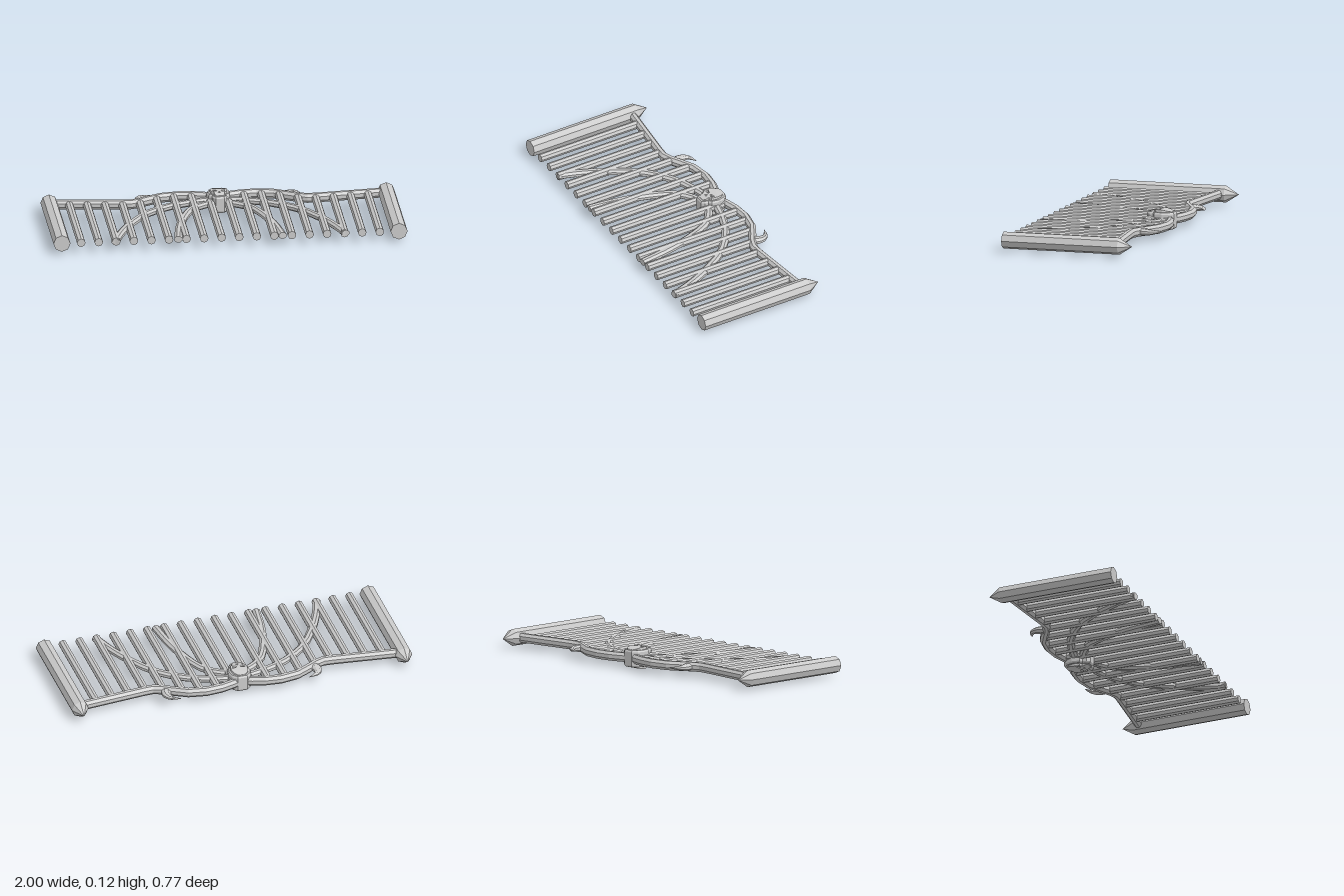
import * as THREE from 'three';

const MID = 0.065; // height of the gate's centre plane
const FRONT = 0.38;
const mat = new THREE.MeshStandardMaterial({ color: 0xcccccc, flatShading: true });

function mesh(geo, name) {
  const m = new THREE.Mesh(geo, mat);
  m.name = name;
  return m;
}

// Sweep an eight-sided section along [x, z] points; w(t), h(t) are half sizes.
function sweep(pts, w, h, sides = 8) {
  const v = [], idx = [], n = pts.length;
  pts.forEach(([x, z], i) => {
    const a = pts[Math.max(i - 1, 0)], b = pts[Math.min(i + 1, n - 1)];
    const t = new THREE.Vector2(b[0] - a[0], b[1] - a[1]).normalize();
    const u = i / (n - 1);
    for (let k = 0; k < sides; k++) {
      const ang = ((k + 0.5) / sides) * Math.PI * 2;
      const c = Math.cos(ang) * w(u);
      v.push(x - t.y * c, MID + Math.sin(ang) * h(u), z + t.x * c);
    }
  });
  for (let i = 0; i < n - 1; i++) {
    for (let k = 0; k < sides; k++) {
      const k2 = (k + 1) % sides, a = i * sides, b = a + sides;
      idx.push(a + k, b + k, b + k2, a + k, b + k2, a + k2);
    }
  }
  const e = (n - 1) * sides;
  for (let k = 1; k < sides - 1; k++) idx.push(0, k, k + 1, e, e + k + 1, e + k);
  const g = new THREE.BufferGeometry();
  g.setAttribute('position', new THREE.Float32BufferAttribute(v, 3));
  g.setIndex(idx);
  const flat = g.toNonIndexed();
  flat.computeVertexNormals();
  return flat;
}

// Smooth an [x, z] path into evenly sampled points.
function smooth(pts, steps) {
  const c = new THREE.CatmullRomCurve3(pts.map(([x, z]) => new THREE.Vector3(x, 0, z)));
  return c.getPoints(steps).map(p => [p.x, p.z]);
}
const mirror = (pts, s) => pts.map(([x, z]) => [x * s, z]);

// Half of the top rail, from the middle outwards
const RAIL = [[0, -0.285], [0.06, -0.307], [0.13, -0.327], [0.22, -0.335], [0.32, -0.318],
  [0.40, -0.275], [0.45, -0.245], [0.5, -0.227], [0.56, -0.23], [0.92, -0.27]];

function railZ(x) {
  x = Math.abs(x);
  const i = Math.max(1, RAIL.findIndex(p => p[0] >= x));
  const [x0, z0] = RAIL[i - 1], [x1, z1] = RAIL[i];
  return z0 + (z1 - z0) * (x - x0) / (x1 - x0);
}

// Round bar lying along z
function rod(r0, r1, zBack, zFront, x) {
  return new THREE.CylinderGeometry(r1, r0, zFront - zBack, 8)
    .rotateX(Math.PI / 2).translate(x, MID, (zBack + zFront) / 2);
}

function shapeFrom(half) {
  const all = [...half, ...half.slice().reverse().map(([x, y]) => [-x, y])];
  return new THREE.Shape(all.map(p => new THREE.Vector2(...p)));
}

function makeSkull() {
  const skull = new THREE.Group();
  skull.name = 'skullOrnament';
  // Outline with the chin at negative y
  const outline = [[0.022, -0.072], [0.034, -0.058], [0.036, -0.034], [0.054, -0.022],
    [0.06, 0.02], [0.05, 0.055], [0.026, 0.076]];
  const core = new THREE.ExtrudeGeometry(shapeFrom(outline), {
    depth: 0.076, bevelEnabled: true, bevelThickness: 0.01, bevelSize: 0.006, bevelSegments: 1 });
  core.translate(0, 0, -0.038);
  skull.add(mesh(core, 'skullCore'));

  // Carved face, one on each side of the gate
  const face = shapeFrom(outline.map(([x, y]) => [x * 0.8, y * 0.86]));
  for (const s of [-1, 1]) {
    const eye = [[0.009, -0.011], [0.03, -0.016], [0.037, 0.006], [0.012, -0.002]];
    face.holes.push(new THREE.Path(eye.map(([x, y]) => new THREE.Vector2(x * s, y))));
  }
  face.holes.push(new THREE.Path([[0, -0.019], [0.008, -0.035], [-0.008, -0.035]]
    .map(p => new THREE.Vector2(...p))));
  for (const s of [0, 1]) {
    const plate = new THREE.ExtrudeGeometry(face, {
      depth: 0.01, bevelEnabled: true, bevelThickness: 0.006, bevelSize: 0.002, bevelSegments: 1 });
    plate.translate(0, 0, 0.046);
    // Slope the crown and chin away from the brow
    const p = plate.attributes.position;
    for (let i = 0; i < p.count; i++) {
      const d = Math.max(0, Math.abs(p.getY(i)) - 0.03);
      p.setZ(i, p.getZ(i) - d * 0.35);
    }
    plate.computeVertexNormals();
    if (s) plate.rotateY(Math.PI);
    skull.add(mesh(plate, s ? 'faceBelow' : 'faceAbove'));
  }
  skull.rotation.x = -Math.PI / 2;
  skull.position.set(0, MID, -0.238);
  return skull;
}

export function createModel() {
  const gate = new THREE.Group();
  gate.name = 'gate';

  // End posts with pointed caps
  for (const s of [-1, 1]) {
    gate.add(mesh(rod(0.048, 0.048, -0.305, FRONT, s * 0.952), 'post'));
    gate.add(mesh(rod(0, 0.048, -0.38, -0.305, s * 0.952), 'postPoint'));
  }

  // Upright bars, reaching the rail
  for (let i = 0; i < 18; i++) {
    const x = (i - 8.5) * 0.0992;
    gate.add(mesh(rod(0.024, 0.024, railZ(x), FRONT, x), 'bar'));
  }

  // Top rail
  const rail = [...mirror(RAIL.slice(1), -1).reverse(), ...RAIL];
  gate.add(mesh(sweep(rail, () => 0.024, () => 0.028), 'topRail'));

  // Curved braces and rail hooks, mirrored
  const outer = smooth([[0.03, -0.25], [0.14, -0.225], [0.27, -0.175], [0.42, -0.065],
    [0.54, 0.11], [0.61, 0.26], [0.65, FRONT]], 14);
  const inner = smooth([[0.03, -0.2], [0.1, -0.165], [0.17, -0.1], [0.23, 0.04],
    [0.27, 0.2], [0.295, FRONT]], 12);
  const hook = smooth([[0.425, -0.25], [0.44, -0.285], [0.442, -0.315], [0.425, -0.345],
    [0.375, -0.366]], 8);
  for (const s of [-1, 1]) {
    gate.add(mesh(sweep(mirror(outer, s), () => 0.024, () => 0.02), 'outerBrace'));
    gate.add(mesh(sweep(mirror(inner, s), () => 0.024, () => 0.02), 'innerBrace'));
    const taper = t => 0.03 * (1 - t * t) + 0.001;
    gate.add(mesh(sweep(mirror(hook, s), taper, t => taper(t) * 0.7), 'hook'));
  }

  gate.add(makeSkull());
  return gate;
}
